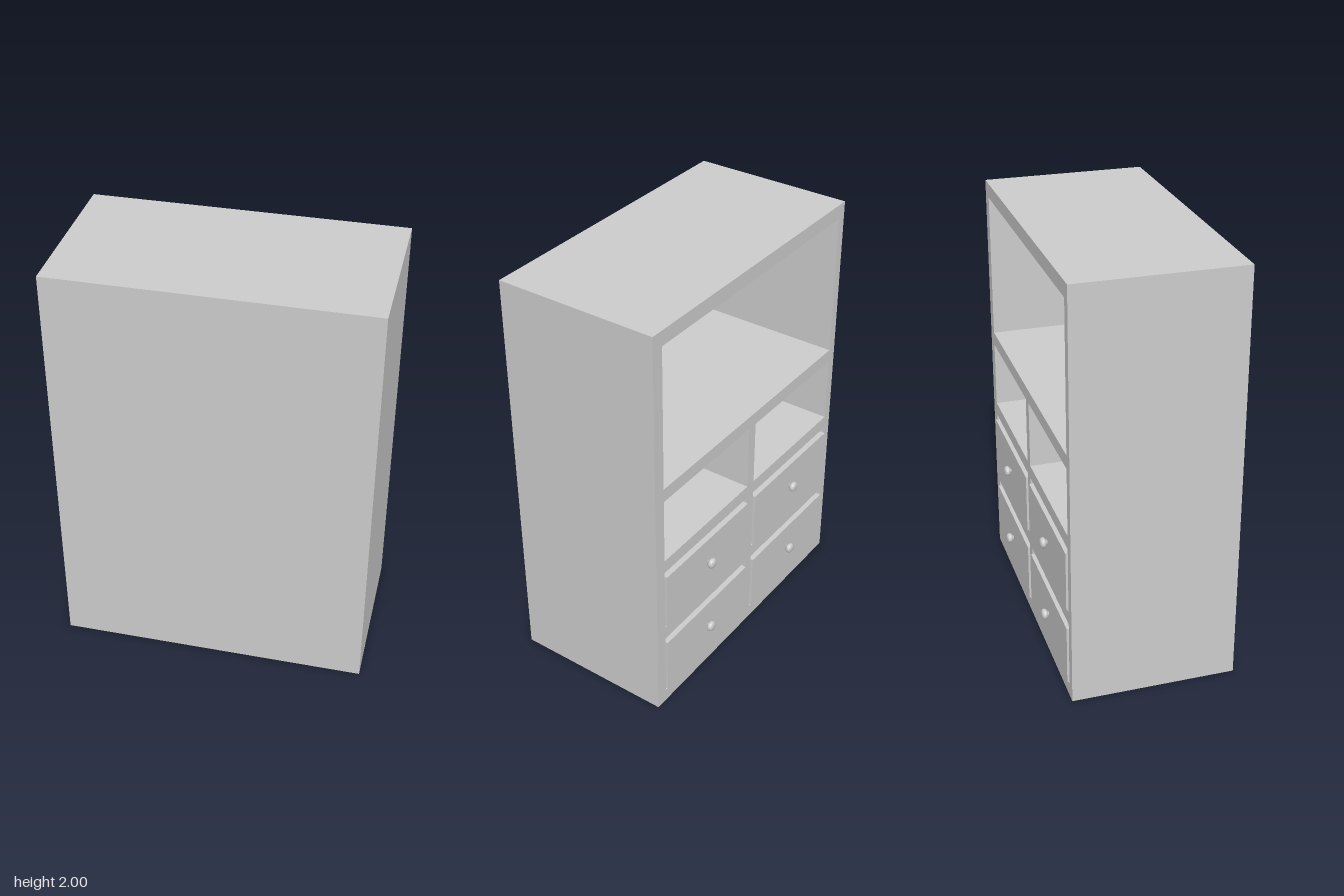
import * as THREE from 'three';

const material = new THREE.MeshStandardMaterial({ color: 0xcccccc, side: THREE.DoubleSide });

function add(parent, name, geometry, x = 0, y = 0, z = 0) {
  const mesh = new THREE.Mesh(geometry, material);
  mesh.name = name;
  mesh.position.set(x, y, z);
  parent.add(mesh);
  return mesh;
}

function rectangle(Type, x0, x1, y0, y1) {
  const r = new Type();
  r.moveTo(x0, y0);
  r.lineTo(x1, y0);
  r.lineTo(x1, y1);
  r.lineTo(x0, y1);
  r.closePath();
  return r;
}

const OPEN_Z = -0.366; // plane of the open side
const WALL_Z = 0.335; // inner face of the closed wall
const COLUMNS = [[-0.685, -0.034], [0.018, 0.67]];
const ROWS = [[0.065, 0.39], [0.455, 0.78], [0.845, 1.17]];

// Open-topped drawer with a front panel and a knob; origin at the bottom centre of its front
function createDrawer() {
  const drawer = new THREE.Group();
  drawer.name = 'drawer';
  const w = 0.642, h = 0.29, d = 0.66, t = 0.03;
  add(drawer, 'drawerFront', new THREE.BoxGeometry(w, h, t), 0, h / 2, t / 2);
  add(drawer, 'drawerBack', new THREE.BoxGeometry(w, h, t), 0, h / 2, d - t / 2);
  add(drawer, 'drawerBottom', new THREE.BoxGeometry(w, t, d - 2 * t), 0, t / 2, d / 2);
  for (const s of [-1, 1]) {
    add(drawer, 'drawerSide', new THREE.BoxGeometry(t, h, d - 2 * t), s * (w - t) / 2, h / 2, d / 2);
  }

  // Knob: short stem flaring into a flattened ball
  const profile = [
    [0.012, -0.002], [0.012, 0.004], [0.02, 0.008], [0.025, 0.014],
    [0.026, 0.02], [0.024, 0.027], [0.018, 0.032], [0.01, 0.034], [0, 0.035],
  ].map(([r, y]) => new THREE.Vector2(r, y));
  const knob = add(drawer, 'knob', new THREE.LatheGeometry(profile, 20), 0, 0.16, 0);
  knob.rotation.x = -Math.PI / 2;
  return drawer;
}

export function createModel() {
  const model = new THREE.Group();
  model.name = 'cabinet';

  // Carcass with one wide compartment above a grid of smaller ones
  const outline = rectangle(THREE.Shape, -0.73, 0.73, 0, 2);
  outline.holes.push(rectangle(THREE.Path, COLUMNS[0][0], COLUMNS[1][1], 1.235, 1.93));
  for (const [x0, x1] of COLUMNS) {
    for (const [y0, y1] of ROWS) outline.holes.push(rectangle(THREE.Path, x0, x1, y0, y1));
  }
  const carcass = new THREE.ExtrudeGeometry(outline, { depth: WALL_Z - OPEN_Z, bevelEnabled: false });
  add(model, 'carcass', carcass, 0, 0, OPEN_Z);

  // Closed wall
  const thickness = 0.41 - WALL_Z;
  add(model, 'wallPanel', new THREE.BoxGeometry(1.46, 2, thickness), 0, 1, WALL_Z + thickness / 2);

  // Drawers in the two lower rows, standing slightly proud of the carcass
  for (const [x0, x1] of COLUMNS) {
    for (const [y0] of ROWS.slice(0, 2)) {
      const drawer = createDrawer();
      drawer.position.set((x0 + x1) / 2, y0 + 0.008, OPEN_Z - 0.009);
      model.add(drawer);
    }
  }
  return model;
}
